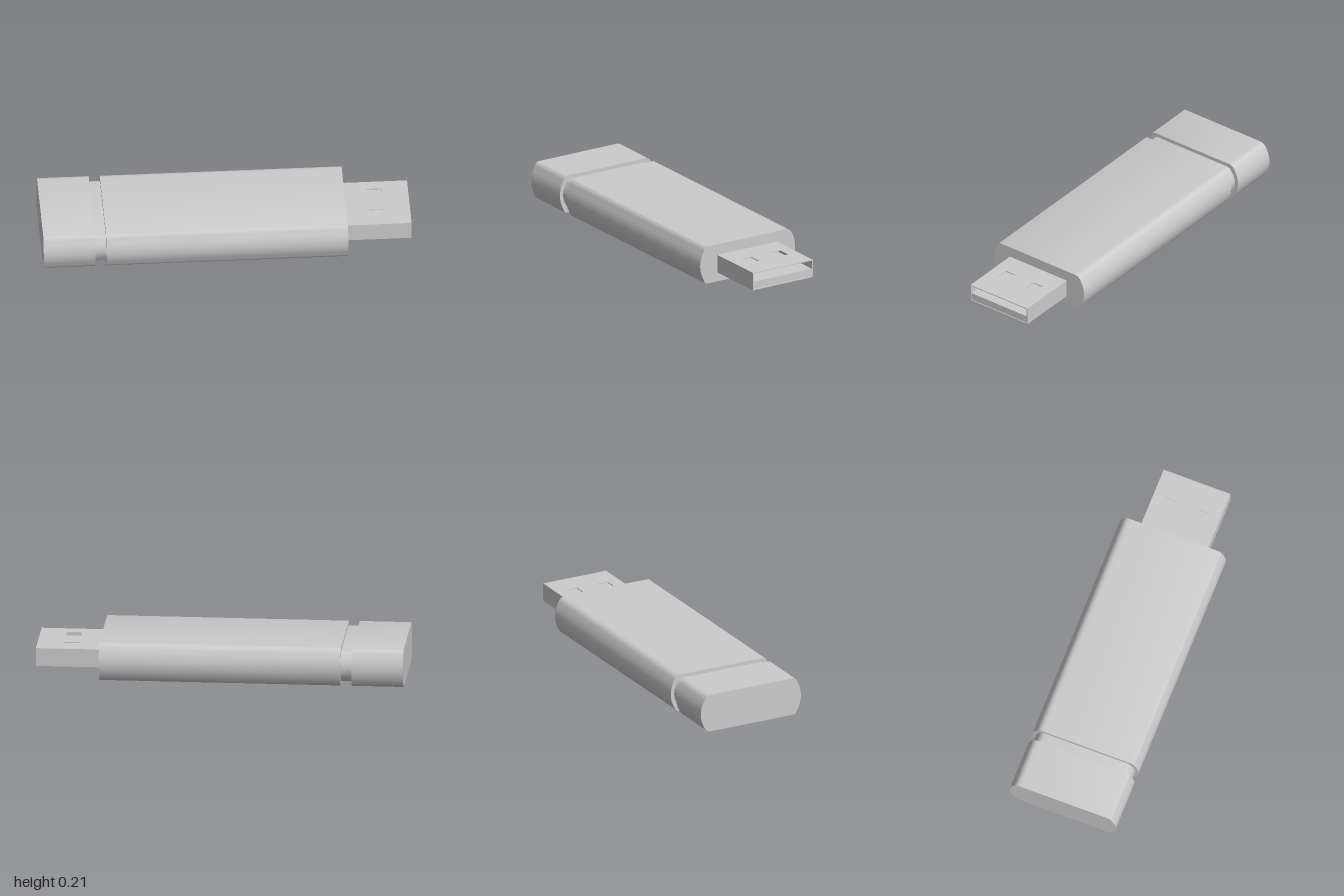
import * as THREE from 'three';
import { toCreasedNormals } from 'three/addons/utils/BufferGeometryUtils.js';

const MID = 0.106; // height of the stick's centre line

// Cross-section of the case: flat top and bottom, bulging sides.
// Shape x is -z; inset shrinks the whole outline.
function caseSection(inset) {
  const h = 0.106 - inset;
  const s = new THREE.Shape();
  s.moveTo(-0.262 + inset, -h);
  s.lineTo(0.245 - inset, -h);
  s.quadraticCurveTo(0.272 - inset, -h, 0.285 - inset, -h * 0.76);
  s.quadraticCurveTo(0.331 - inset, 0, 0.285 - inset, h * 0.76);
  s.quadraticCurveTo(0.272 - inset, h, 0.245 - inset, h);
  s.lineTo(-0.262 + inset, h);
  s.quadraticCurveTo(-0.278 + inset, h, -0.288 + inset, h * 0.72);
  s.quadraticCurveTo(-0.328 + inset, 0, -0.288 + inset, -h * 0.72);
  s.quadraticCurveTo(-0.278 + inset, -h, -0.262 + inset, -h);
  return s;
}

export function createModel() {
  const group = new THREE.Group();
  const material = new THREE.MeshStandardMaterial({ color: 0xcccccc });

  const add = (name, geometry, parent = group) => {
    const mesh = new THREE.Mesh(geometry, material);
    mesh.name = name;
    parent.add(mesh);
    return mesh;
  };

  // Case: end cap, recessed neck and main body, extruded along x
  const caseParts = [
    ['endCap', -1, -0.72, 0],
    ['neck', -0.74, -0.64, 0.021],
    ['body', -0.66, 0.65, 0],
  ];
  for (const [name, x0, x1, inset] of caseParts) {
    const geometry = new THREE.ExtrudeGeometry(caseSection(inset), {
      depth: x1 - x0, bevelEnabled: false, curveSegments: 10,
    });
    geometry.rotateY(Math.PI / 2).translate(x0, MID, 0);
    add(name, toCreasedNormals(geometry, 0.6));
  }

  // Connector: thin hollow metal shell, open at the +x end
  const connector = new THREE.Group();
  connector.name = 'connector';
  group.add(connector);
  const x0 = 0.64, x1 = 1, y0 = 0.052, y1 = 0.152, z0 = -0.19, z1 = 0.197, wall = 0.005;

  const box = (name, ax, bx, ay, by, az, bz) => add(name,
    new THREE.BoxGeometry(bx - ax, by - ay, bz - az)
      .translate((ax + bx) / 2, (ay + by) / 2, (az + bz) / 2), connector);

  box('shellFloor', x0, x1, y0, y0 + wall, z0, z1);
  box('shellRightWall', x0, x1, y0 + wall, y1 - wall, z0, z0 + wall);
  box('shellLeftWall', x0, x1, y0 + wall, y1 - wall, z1 - wall, z1);

  // Shell top with two latch windows
  const rect = (path, ax, bx, az, bz) => {
    path.moveTo(ax, -bz);
    path.lineTo(bx, -bz);
    path.lineTo(bx, -az);
    path.lineTo(ax, -az);
    path.closePath();
    return path;
  };
  const top = rect(new THREE.Shape(), x0, x1, z0, z1);
  for (const z of [-0.093, 0.095]) {
    top.holes.push(rect(new THREE.Path(), 0.775, 0.855, z - 0.033, z + 0.033));
  }
  const topGeometry = new THREE.ExtrudeGeometry(top, { depth: wall, bevelEnabled: false });
  topGeometry.rotateX(-Math.PI / 2).translate(0, y1 - wall, 0);
  add('shellTop', topGeometry, connector);

  // Contact tongue filling the lower half of the shell
  box('contactTongue', x0, x1 - 0.002, y0 + wall + 0.002, 0.1, z0 + wall, z1 - wall);

  return group;
}
